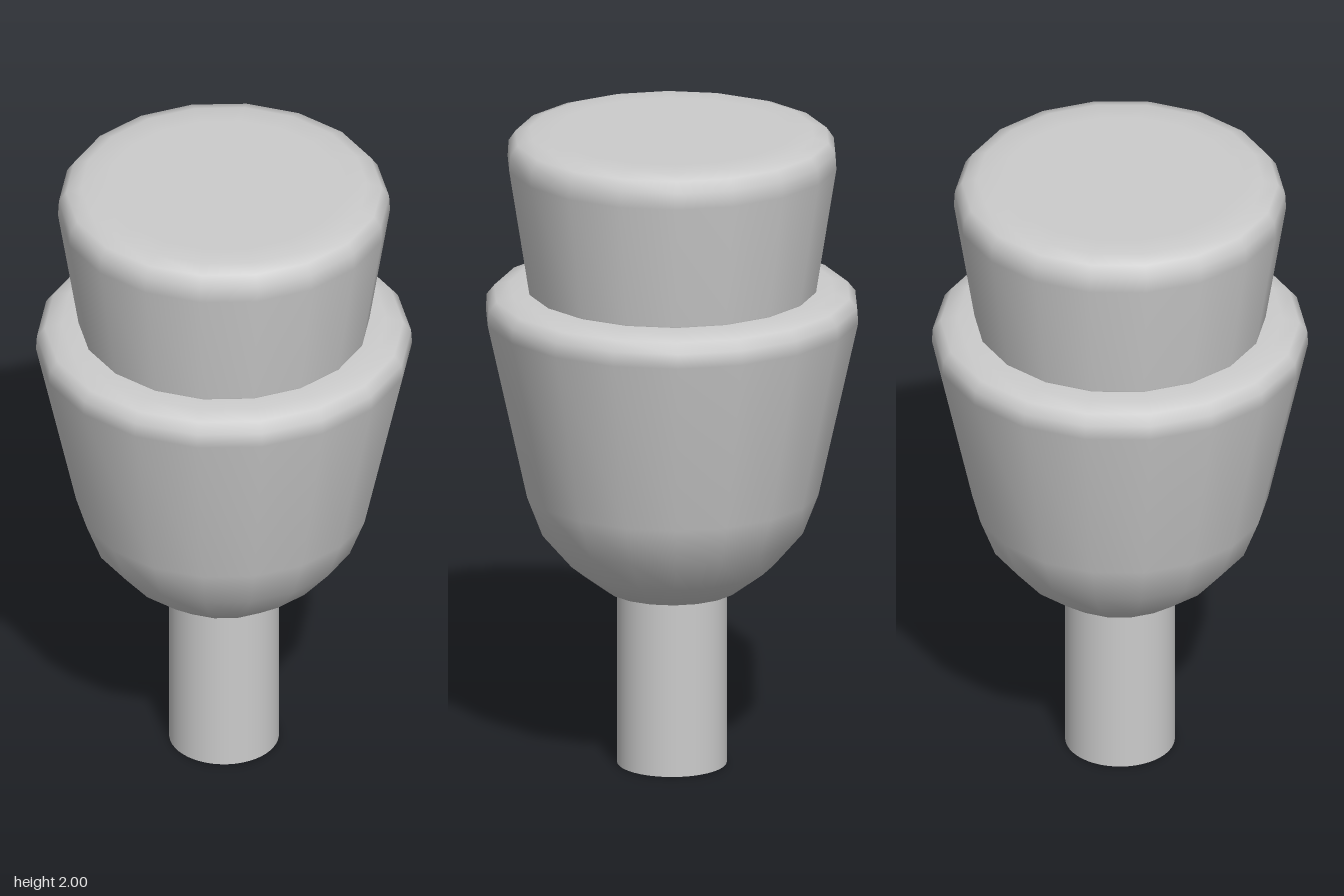
import * as THREE from 'three';

const material = new THREE.MeshStandardMaterial({ color: 0xcccccc });

// Smooth 18-sided turned part with a corner on the x axis
function turned(name, profile) {
  const points = profile.map(([r, y]) => new THREE.Vector2(r, y));
  const mesh = new THREE.Mesh(new THREE.LatheGeometry(points, 18, Math.PI / 2), material);
  mesh.name = name;
  return mesh;
}

export function createModel() {
  const group = new THREE.Group();
  group.name = 'stopper';

  // Plain round stem, its top tucked against the body
  const stem = new THREE.Mesh(new THREE.CylinderGeometry(0.167, 0.167, 0.57, 48), material);
  stem.name = 'stem';
  stem.position.y = 0.285;
  group.add(stem);

  // Cup-shaped body with a rounded bottom and a soft shoulder
  group.add(turned('body', [
    [0, 0.556], [0.206, 0.556], [0.312, 0.635], [0.402, 0.74], [0.45, 0.865],
    [0.572, 1.415], [0.569, 1.46], [0.545, 1.49], [0.495, 1.505], [0.42, 1.508], [0, 1.508],
  ]));

  // Flared cap with a rounded top edge
  group.add(turned('cap', [
    [0, 1.49], [0.44, 1.49], [0.443, 1.51], [0.505, 1.9], [0.502, 1.95],
    [0.48, 1.982], [0.435, 1.997], [0.36, 2], [0, 2],
  ]));

  return group;
}
